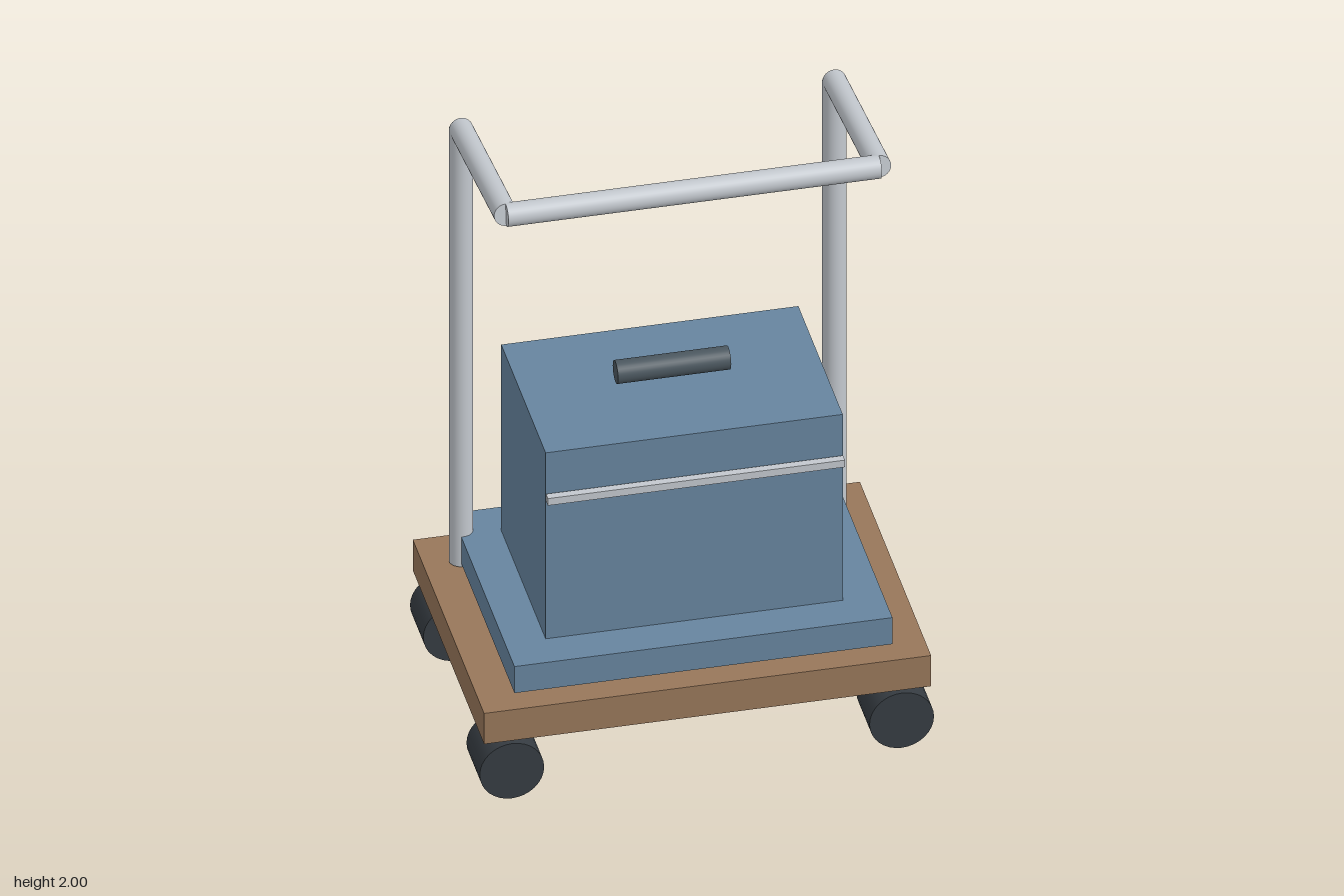
import * as THREE from 'three';

const mat = (name, color) => Object.assign(new THREE.MeshStandardMaterial({ color }), { name });

export function createModel() {
  const group = new THREE.Group();
  const wood = mat('brown wood', 0x98775a);
  const blue = mat('blue paint', 0x67859f);
  const steel = mat('light steel', 0xc3c8ce);
  const rubber = mat('dark rubber', 0x363c42);
  const grip = mat('grey grip', 0x4b575f);

  const add = (name, geometry, material, x, y, z) => {
    const mesh = new THREE.Mesh(geometry, material);
    mesh.name = name;
    mesh.position.set(x, y, z);
    group.add(mesh);
    return mesh;
  };
  const box = (name, material, w, h, d, y, z = 0) =>
    add(name, new THREE.BoxGeometry(w, h, d), material, 0, y, z);

  // Straight round bar between two points
  const rod = (name, material, r, a, b) => {
    const from = new THREE.Vector3(...a), to = new THREE.Vector3(...b);
    const dir = to.clone().sub(from);
    const mid = from.clone().add(to).multiplyScalar(0.5);
    const mesh = add(name, new THREE.CylinderGeometry(r, r, dir.length(), 32), material, mid.x, mid.y, mid.z);
    mesh.quaternion.setFromUnitVectors(new THREE.Vector3(0, 1, 0), dir.normalize());
  };

  // Deck, base plate and case
  box('deck', wood, 1.36, 0.11, 0.94, 0.27);
  box('basePlate', blue, 1.15, 0.095, 0.83, 0.393);
  box('case', blue, 0.904, 0.668, 0.586, 0.773);
  box('frontTrim', steel, 0.904, 0.025, 0.025, 0.95, 0.31);
  rod('caseHandle', grip, 0.036, [-0.172, 1.16, 0], [0.172, 1.16, 0]);

  // Wheels, posts and sloping arms, mirrored left and right
  for (const [side, s] of [['left', 1], ['right', -1]]) {
    for (const [end, e] of [['Front', 1], ['Back', -1]]) {
      rod(side + end + 'Wheel', rubber, 0.098, [s * 0.593, 0.099, e * 0.285], [s * 0.593, 0.099, e * 0.46]);
    }
    rod(side + 'Post', steel, 0.036, [s * 0.568, 0.333, -0.322], [s * 0.568, 1.879, -0.322]);
    rod(side + 'Arm', steel, 0.036, [s * 0.568, 1.879, -0.322], [s * 0.568, 1.964, 0.272]);
  }

  // Push bar
  rod('pushBar', steel, 0.036, [-0.568, 1.964, 0.272], [0.568, 1.964, 0.272]);

  return group;
}
